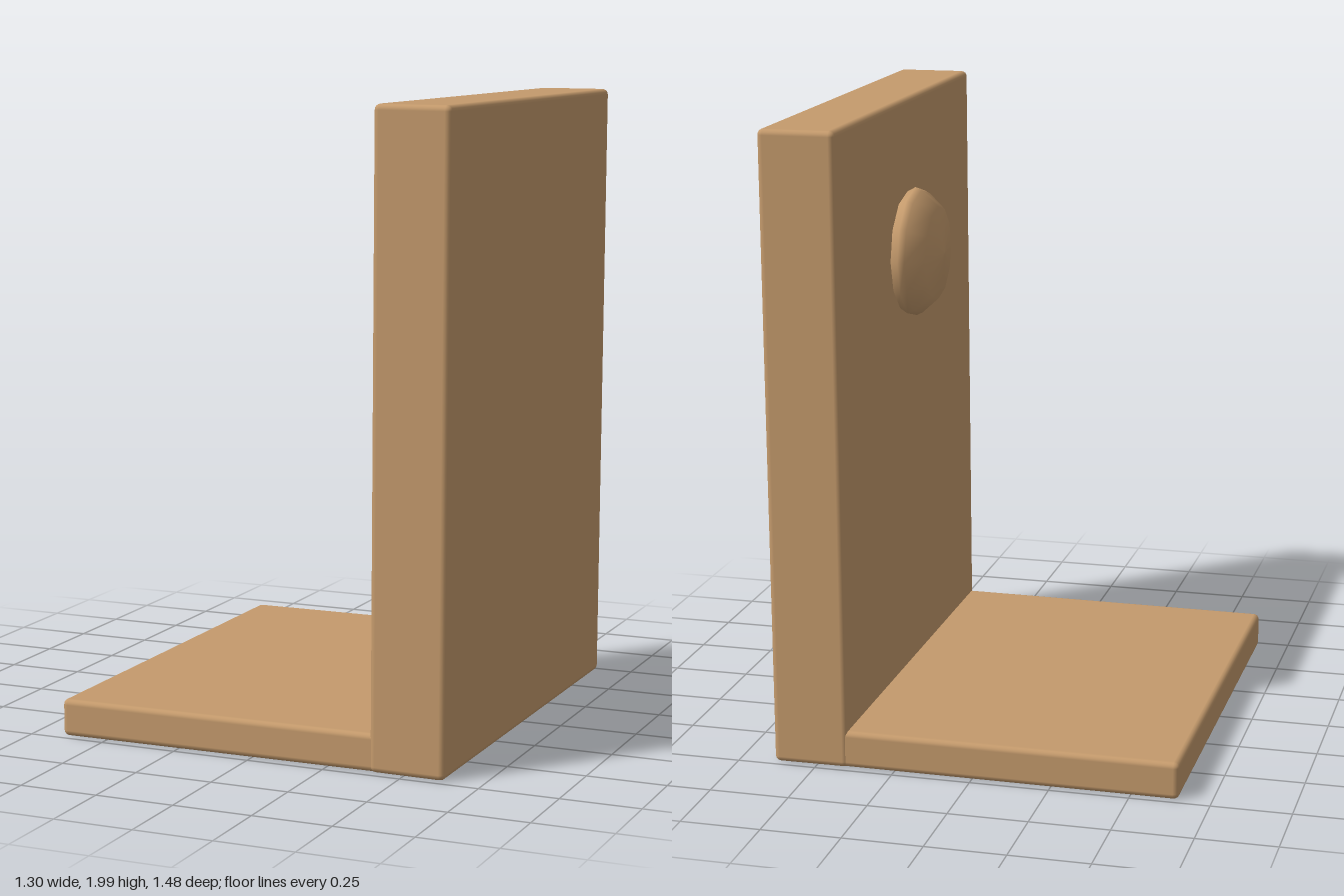
import * as THREE from 'three';
import { RoundedBoxGeometry } from 'three/addons/geometries/RoundedBoxGeometry.js';

export function createModel() {
  const model = new THREE.Group();
  model.name = 'bookend';
  const wood = new THREE.MeshStandardMaterial({ color: 0xc49a6c });
  wood.name = 'light wood';

  // softly bevelled board, centred at the given position
  const board = (name, size, position, tilt) => {
    const mesh = new THREE.Mesh(new RoundedBoxGeometry(...size, 2, 0.018), wood);
    mesh.name = name;
    mesh.position.set(...position);
    mesh.rotation.z = tilt;
    model.add(mesh);
  };

  // thin base plate and the thick upright, which leans very slightly outward
  board('basePlate', [1.24, 0.118, 1.465], [-0.03, 0.066, -0.002], 0.003);
  board('upright', [0.24, 1.99, 1.476], [0.521, 1.003, 0], -0.005);

  // faceted round knob on the inner face of the upright
  const profile = [[0.19, -0.01], [0.21, 0.025], [0.2, 0.045], [0.15, 0.1], [0, 0.122]]
    .map(([r, h]) => new THREE.Vector2(r, h));
  const knob = new THREE.Mesh(new THREE.LatheGeometry(profile, 12), wood);
  knob.name = 'knob';
  knob.position.set(0.402, 1.505, 0);
  knob.rotation.z = Math.PI / 2;
  model.add(knob);

  return model;
}
